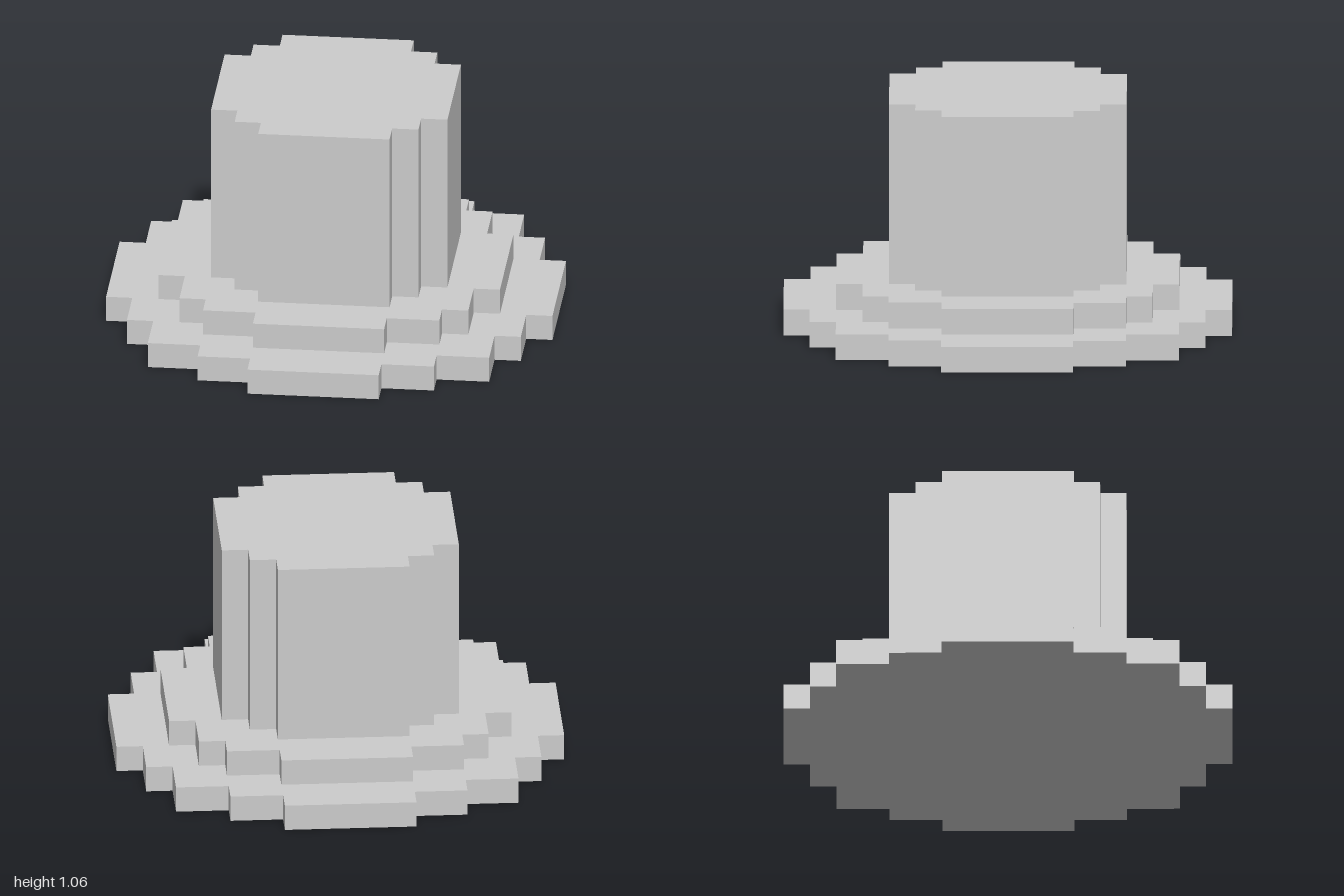
import * as THREE from 'three';

// Everything sits on a block grid, 17 blocks across the base
const UNIT = 2 / 17;

// Stepped round outline: outer corners of one quadrant, turned four times
function steppedOutline(corners) {
  const quadrant = [];
  corners.forEach(([x, y], i) => {
    quadrant.push([x, y]);
    if (i < corners.length - 1) quadrant.push([corners[i + 1][0], y]);
  });
  const points = [];
  for (let turn = 0; turn < 4; turn++) {
    for (const [x, y] of quadrant) {
      const p = new THREE.Vector2(x, y);
      for (let k = 0; k < turn; k++) p.set(-p.y, p.x);
      points.push(p.multiplyScalar(UNIT));
    }
  }
  return new THREE.Shape(points);
}

export function createModel() {
  const group = new THREE.Group();
  group.name = 'steppedHat';
  const material = new THREE.MeshStandardMaterial({ color: 0xcccccc, flatShading: true });

  // Tiers from the bottom up, in blocks
  const tiers = [
    { name: 'lowerBrim', bottom: 0, height: 1, corners: [[8.5, 2.5], [7.5, 4.5], [6.5, 6.5], [4.5, 7.5], [2.5, 8.5]] },
    { name: 'upperBrim', bottom: 1, height: 1, corners: [[6.5, 2.5], [5.5, 4.5], [4.5, 5.5], [2.5, 6.5]] },
    { name: 'crown', bottom: 2, height: 7, corners: [[4.5, 2.5], [3.5, 3.5], [2.5, 4.5]] },
  ];

  for (const { name, bottom, height, corners } of tiers) {
    const geometry = new THREE.ExtrudeGeometry(steppedOutline(corners), {
      depth: height * UNIT,
      bevelEnabled: false,
    });
    geometry.rotateX(-Math.PI / 2);
    const mesh = new THREE.Mesh(geometry, material);
    mesh.name = name;
    mesh.position.y = bottom * UNIT;
    group.add(mesh);
  }
  return group;
}
